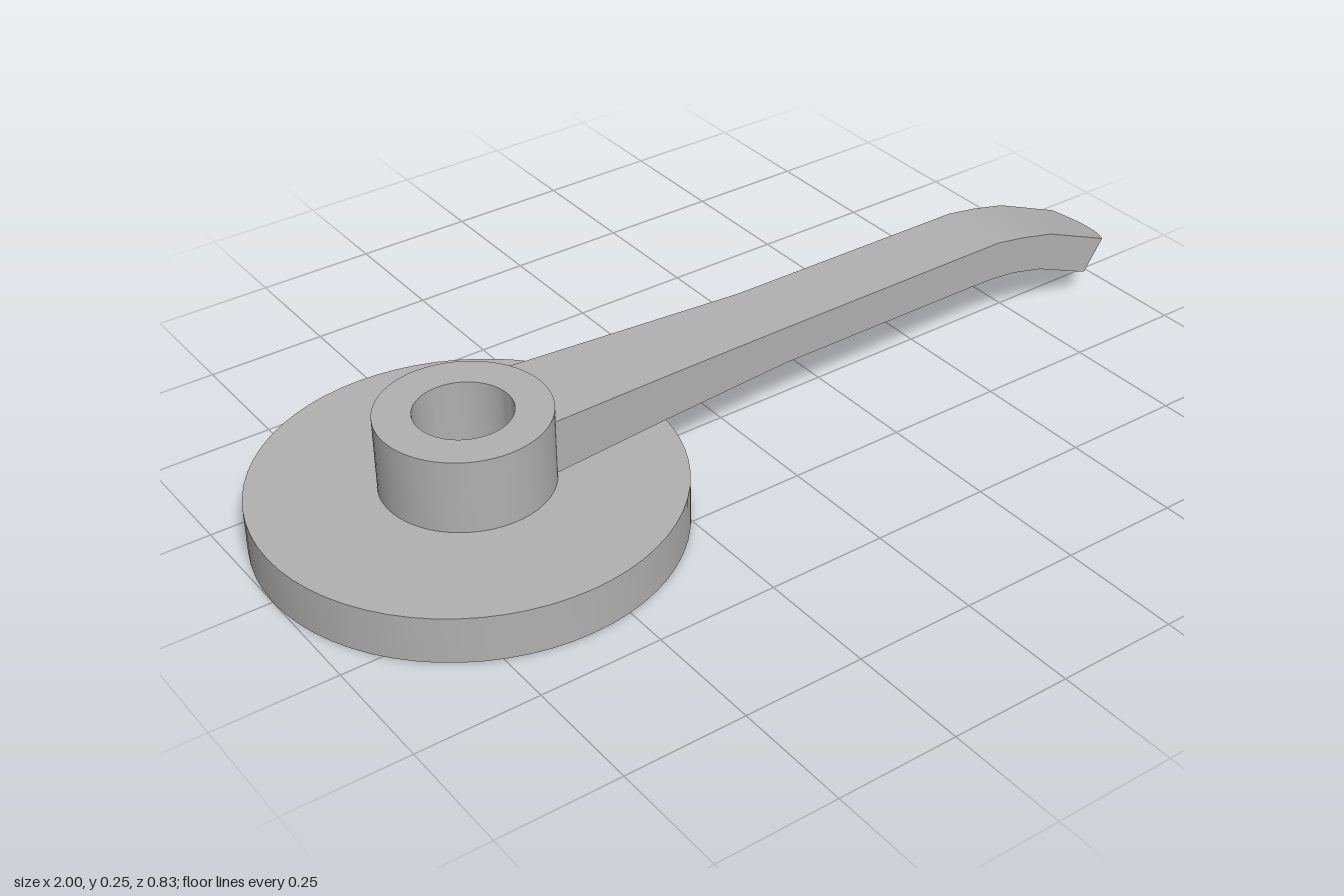
import * as THREE from 'three';
import { toCreasedNormals } from 'three/addons/utils/BufferGeometryUtils.js';

const CENTRE_X = -0.585; // axis of the flange and hub

// Solid of revolution about the hub axis, with sharp rims
function turned(name, points, material) {
  const profile = points.map(([r, y]) => new THREE.Vector2(r, y));
  const mesh = new THREE.Mesh(toCreasedNormals(new THREE.LatheGeometry(profile, 64), 0.5), material);
  mesh.name = name;
  mesh.position.x = CENTRE_X;
  return mesh;
}

// Lever arm: rectangular sections swept along x, ending in a rounded tip
function leverGeometry() {
  // [top x, top y, bottom x, bottom y, half width, tip bulge]
  const stations = [
    [-0.455, 0.23, -0.455, 0.117, 0.107, 0],
    [-0.18, 0.223, -0.18, 0.126, 0.093, 0],
    [0.1, 0.215, 0.1, 0.133, 0.08, 0],
    [0.6, 0.215, 0.59, 0.133, 0.078, 0],
    [0.66, 0.215, 0.65, 0.132, 0.078, 0],
    [0.73, 0.204, 0.71, 0.126, 0.078, 0],
    [0.81, 0.186, 0.785, 0.109, 0.078, 0],
    [0.967, 0.122, 0.92, 0.055, 0.078, 0.033],
  ];
  const n = 12, ring = 2 * (n + 1);
  const positions = [], index = [];
  for (const [tx, ty, bx, by, w, bulge] of stations) {
    for (let k = 0; k < ring; k++) {
      const top = k <= n;
      const t = 2 * (top ? k : ring - 1 - k) / n - 1;
      const d = bulge * (1 - t * t);
      positions.push((top ? tx : bx) + d, (top ? ty : by) - d * 0.5, t * w);
    }
  }
  const quad = (a, b, c, d) => index.push(a, b, c, a, c, d);
  for (let i = 0; i < stations.length - 1; i++) {
    for (let k = 0; k < ring; k++) {
      const a = i * ring + k, b = i * ring + (k + 1) % ring;
      quad(a, b, b + ring, a + ring);
    }
  }
  // End faces
  const last = (stations.length - 1) * ring;
  for (let j = 0; j < n; j++) {
    const low = ring - 1 - j;
    quad(j, low, low - 1, j + 1);
    quad(last + j, last + j + 1, last + low - 1, last + low);
  }
  const geometry = new THREE.BufferGeometry();
  geometry.setAttribute('position', new THREE.Float32BufferAttribute(positions, 3));
  geometry.setIndex(index);
  return toCreasedNormals(geometry, 0.5);
}

export function createModel() {
  const model = new THREE.Group();
  model.name = 'leverHandle';
  const metal = new THREE.MeshStandardMaterial({ color: 0xb0b0b0 });
  metal.name = 'grey metal';

  // Round base flange with a through hole
  model.add(turned('baseFlange',
    [[0.095, 0], [0.415, 0], [0.415, 0.097], [0.095, 0.097], [0.095, 0]], metal));

  // Raised hub around the same hole
  model.add(turned('hub',
    [[0.168, 0.097], [0.168, 0.25], [0.095, 0.25], [0.095, 0.097]], metal));

  // Arm with a down-curved end
  const arm = new THREE.Mesh(leverGeometry(), metal);
  arm.name = 'leverArm';
  model.add(arm);

  return model;
}
